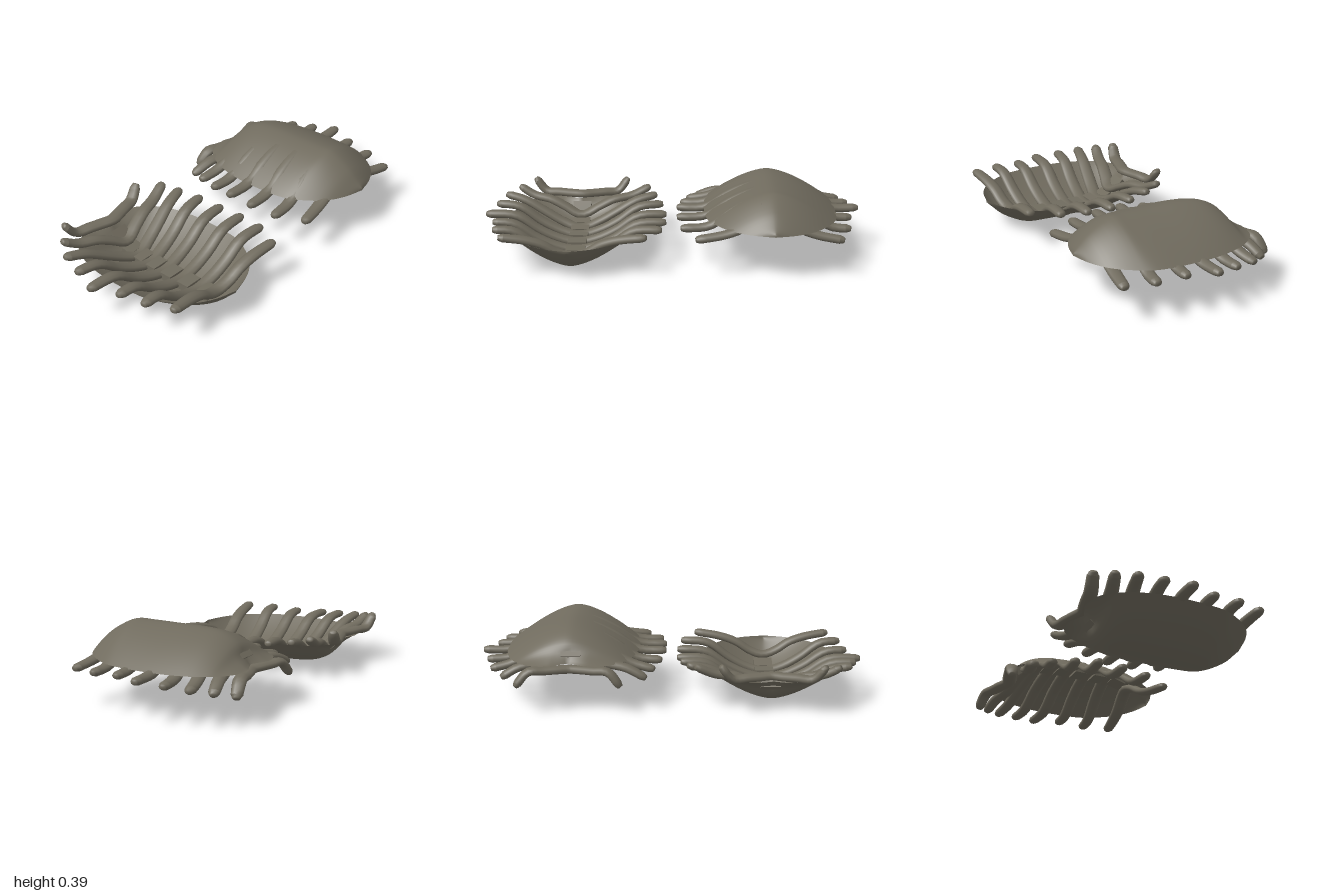
import * as THREE from 'three';
import { mergeVertices } from 'three/addons/utils/BufferGeometryUtils.js';

const RIM = 0.235;

// shell cross-sections: z, half-width, ridge height
const SECTIONS = [
  [-0.42, 0.14, 0.236], [-0.4, 0.2, 0.25], [-0.36, 0.25, 0.285], [-0.32, 0.28, 0.335],
  [-0.24, 0.315, 0.375], [-0.12, 0.34, 0.39], [0.05, 0.345, 0.39], [0.2, 0.33, 0.39],
  [0.27, 0.3, 0.388], [0.385, 0.215, 0.33], [0.45, 0.11, 0.27], [0.48, 0, 0.24],
];

// ribs, back to front: z at spine, z at ends, reach to +x, reach to -x, height of ends
const RIBS = [
  [-0.385, -0.46, 0.27, 0.255, 0.14], [-0.29, -0.385, 0.35, 0.38, 0.165],
  [-0.205, -0.295, 0.415, 0.42, 0.185], [-0.12, -0.175, 0.45, 0.455, 0.2],
  [-0.02, -0.045, 0.49, 0.475, 0.215], [0.095, 0.1, 0.435, 0.475, 0.21],
  [0.215, 0.25, 0.415, 0.455, 0.2], [0.345, 0.395, 0.365, 0.38, 0.19],
];

// half-width and ridge height of the shell at z
function sectionAt(z) {
  let i = 0;
  while (i < SECTIONS.length - 2 && SECTIONS[i + 1][0] < z) i++;
  const [a, b] = [SECTIONS[i], SECTIONS[i + 1]];
  const t = THREE.MathUtils.clamp((z - a[0]) / (b[0] - a[0]), 0, 1);
  return [a[1] + (b[1] - a[1]) * t, a[2] + (b[2] - a[2]) * t];
}

function shellHeight(x, z) {
  const [w, top] = sectionAt(z);
  const u = Math.min(1, Math.abs(x) / Math.max(w, 0.001));
  return RIM + (top - RIM) * (1 - u ** 1.6);
}

// smooth surface through rows of points
function gridGeometry(rows) {
  const n = rows[0].length, index = [];
  for (let i = 0; i < rows.length - 1; i++) {
    for (let j = 0; j < n - 1; j++) {
      const a = i * n + j, b = a + n;
      index.push(a, b, a + 1, a + 1, b, b + 1);
    }
  }
  const geo = new THREE.BufferGeometry().setFromPoints(rows.flat());
  geo.setIndex(index);
  const merged = mergeVertices(geo, 1e-5);
  merged.computeVertexNormals();
  return merged;
}

// domed shell with a small notch at the back
function shellGeometry() {
  const curve = new THREE.CatmullRomCurve3(SECTIONS.map(([z, w, top]) => new THREE.Vector3(w, top, z)));
  const rows = [];
  for (let i = 0; i <= 44; i++) {
    const s = curve.getPoint(i / 44);
    const row = [];
    for (let j = 0; j <= 28; j++) {
      const u = j / 14 - 1, x = u * Math.max(0, s.x);
      const y = RIM - 0.005 * Math.cos(s.z * 3) + (s.y - RIM + 0.005) * (1 - Math.abs(u) ** 1.6);
      const nearBack = THREE.MathUtils.clamp((-0.34 - s.z) / 0.08, 0, 1);
      const notch = 0.03 * Math.max(0, 1 - Math.abs(x) / 0.09) - 0.008 * Math.min(1, Math.abs(x) / 0.09);
      row.push(new THREE.Vector3(x, y, s.z + notch * nearBack));
    }
    rows.push(row);
  }
  return gridGeometry(rows);
}

// flattened rib hugging the underside of the shell, broad inside and blunt at both ends
function ribGeometry([zMid, zEnd, reachR, reachL, yEnd]) {
  const side = (reach, sign) => {
    const points = [];
    const w = Math.min(sectionAt(zMid)[0], reach * 0.8);
    for (const k of [0.3, 0.6, 0.95]) {
      const x = k * w, z = zMid + (zEnd - zMid) * (x / reach);
      const y = Math.min(shellHeight(x, z - 0.035), shellHeight(x, z), shellHeight(x, z + 0.035)) - 0.024;
      points.push(new THREE.Vector3(sign * x, y, z));
    }
    points.push(new THREE.Vector3(sign * reach, yEnd, zEnd));
    return points;
  };
  const yMid = Math.min(shellHeight(0, zMid - 0.035), shellHeight(0, zMid + 0.035)) - 0.026;
  const path = new THREE.CatmullRomCurve3([
    ...side(reachL, -1).reverse(), new THREE.Vector3(0, yMid, zMid), ...side(reachR, 1),
  ]);
  const rows = [], up = new THREE.Vector3(0, 1, 0), length = path.getLength();
  const steps = [0, 0, 0.006, 0.025];
  const stations = [...steps.map((d) => d / length)];
  for (let i = 2; i < 30; i++) stations.push(i / 30);
  stations.push(...steps.map((d) => 1 - d / length).reverse());
  stations.forEach((t, i) => {
    const p = path.getPointAt(t), tangent = path.getTangentAt(t);
    const across = tangent.clone().cross(up).normalize();
    const normal = across.clone().cross(tangent);
    const e = Math.min(i, stations.length - 1 - i);
    const taper = [0, 0.55, 0.75, 1][Math.min(e, 3)];
    const inner = 1 - Math.abs(2 * t - 1) ** 3;
    const ring = [];
    for (let j = 0; j <= 10; j++) {
      const a = (j % 10) / 10 * Math.PI * 2;
      ring.push(p.clone()
        .addScaledVector(across, Math.cos(a) * taper * (0.028 + 0.01 * inner))
        .addScaledVector(normal, Math.sin(a) * taper * 0.021));
    }
    rows.push(ring);
  });
  return gridGeometry(rows);
}

function buildCarapace(material) {
  const group = new THREE.Group();
  const add = (name, geometry) => {
    const mesh = new THREE.Mesh(geometry, material);
    mesh.name = name;
    group.add(mesh);
    return mesh;
  };
  add('shell', shellGeometry()).position.x = 0.013;
  RIBS.forEach((rib) => add('rib', ribGeometry(rib)));

  // spine blocks between neighbouring ribs
  for (let i = 0; i < RIBS.length - 1; i++) {
    const z0 = RIBS[i][0], z1 = RIBS[i + 1][0], z = (z0 + z1) / 2;
    const dy = shellHeight(0, z1) - shellHeight(0, z0);
    const block = add('spineBlock', new THREE.BoxGeometry(0.1, 0.04, (z1 - z0) * 0.62));
    block.position.set(0, shellHeight(0, z) - 0.035, z);
    block.rotation.x = -Math.atan2(dy, z1 - z0);
  }
  return group;
}

export function createModel() {
  const material = new THREE.MeshStandardMaterial({ color: 0x706b5e, side: THREE.DoubleSide });
  material.name = 'greyBrownShell';
  const model = new THREE.Group();
  model.name = 'carapacePair';

  const upright = buildCarapace(material);
  upright.name = 'uprightCarapace';
  upright.position.x = 0.503;

  // second carapace lies on its back
  const overturned = buildCarapace(material);
  overturned.name = 'overturnedCarapace';
  overturned.rotation.z = Math.PI;
  overturned.position.set(-0.503, 0.391, 0);

  model.add(upright, overturned);
  return model;
}
